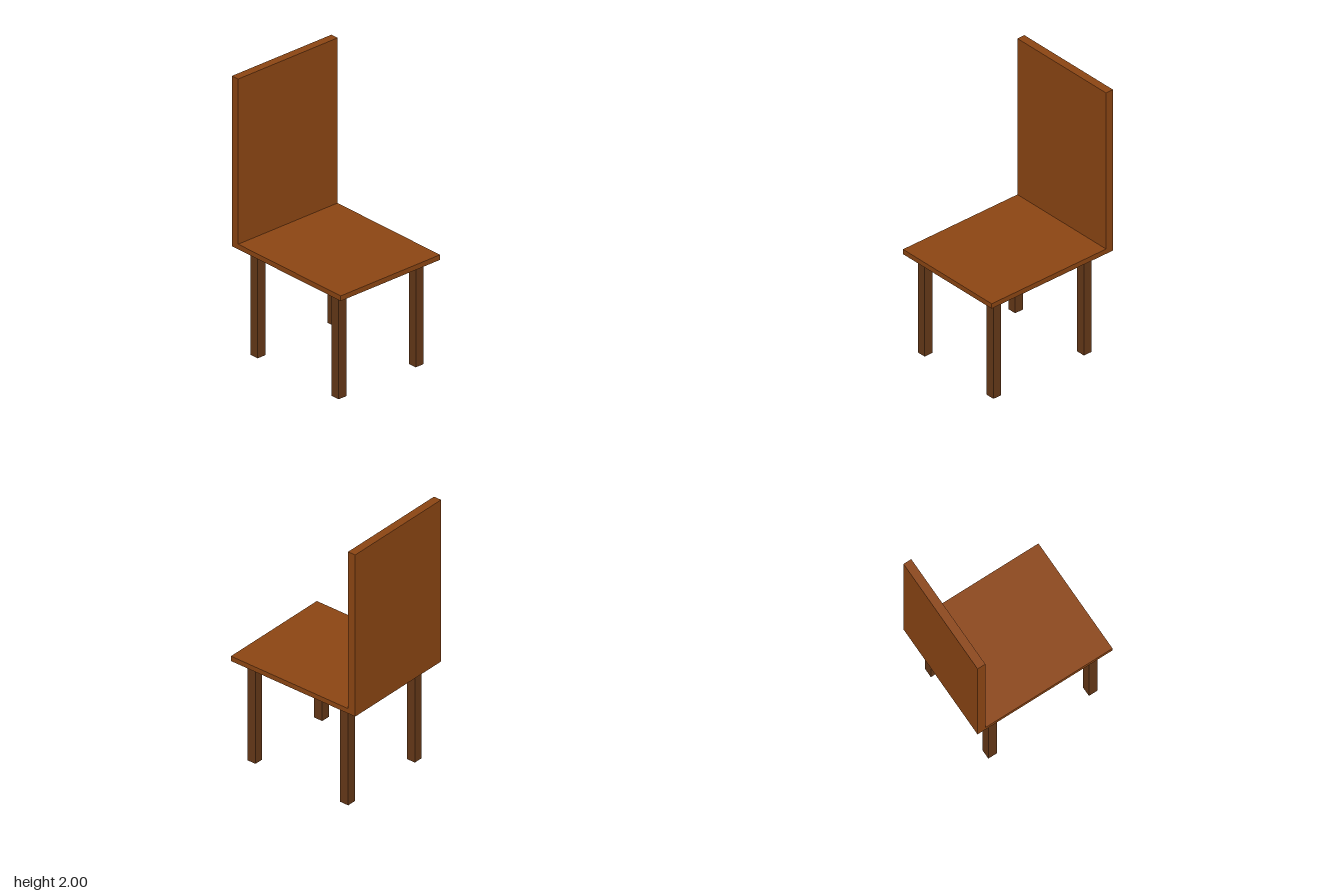
import * as THREE from 'three';

export function createModel() {
  const group = new THREE.Group();
  const wood = new THREE.MeshStandardMaterial({ color: 0x8b4513 });
  const darkWood = new THREE.MeshStandardMaterial({ color: 0x653818 });

  // Box given by its size and the centre of its underside
  function box(name, [w, h, d], [x, y, z], material) {
    const geometry = new THREE.BoxGeometry(w, h, d).translate(0, h / 2, 0);
    const mesh = new THREE.Mesh(geometry, material);
    mesh.name = name;
    mesh.position.set(x, y, z);
    group.add(mesh);
  }

  const legHeight = 0.763, seatThickness = 0.037, width = 0.866, depth = 1.046;
  const backThickness = 0.06;
  const seatTop = legHeight + seatThickness;

  // Seat slab and the upright panel along its rear edge
  box('seat', [width, seatThickness, depth], [0, legHeight, 0], wood);
  box('backrest', [width, 2 - seatTop, backThickness],
    [0, seatTop, (backThickness - depth) / 2], wood);

  // Four square legs, set slightly off centre
  for (const [side, x] of [['Left', 0.327], ['Right', -0.345]]) {
    for (const [end, z] of [['front', 0.41], ['back', -0.37]]) {
      box(`${end}${side}Leg`, [0.067, legHeight, 0.067], [x, 0, z], darkWood);
    }
  }
  return group;
}
